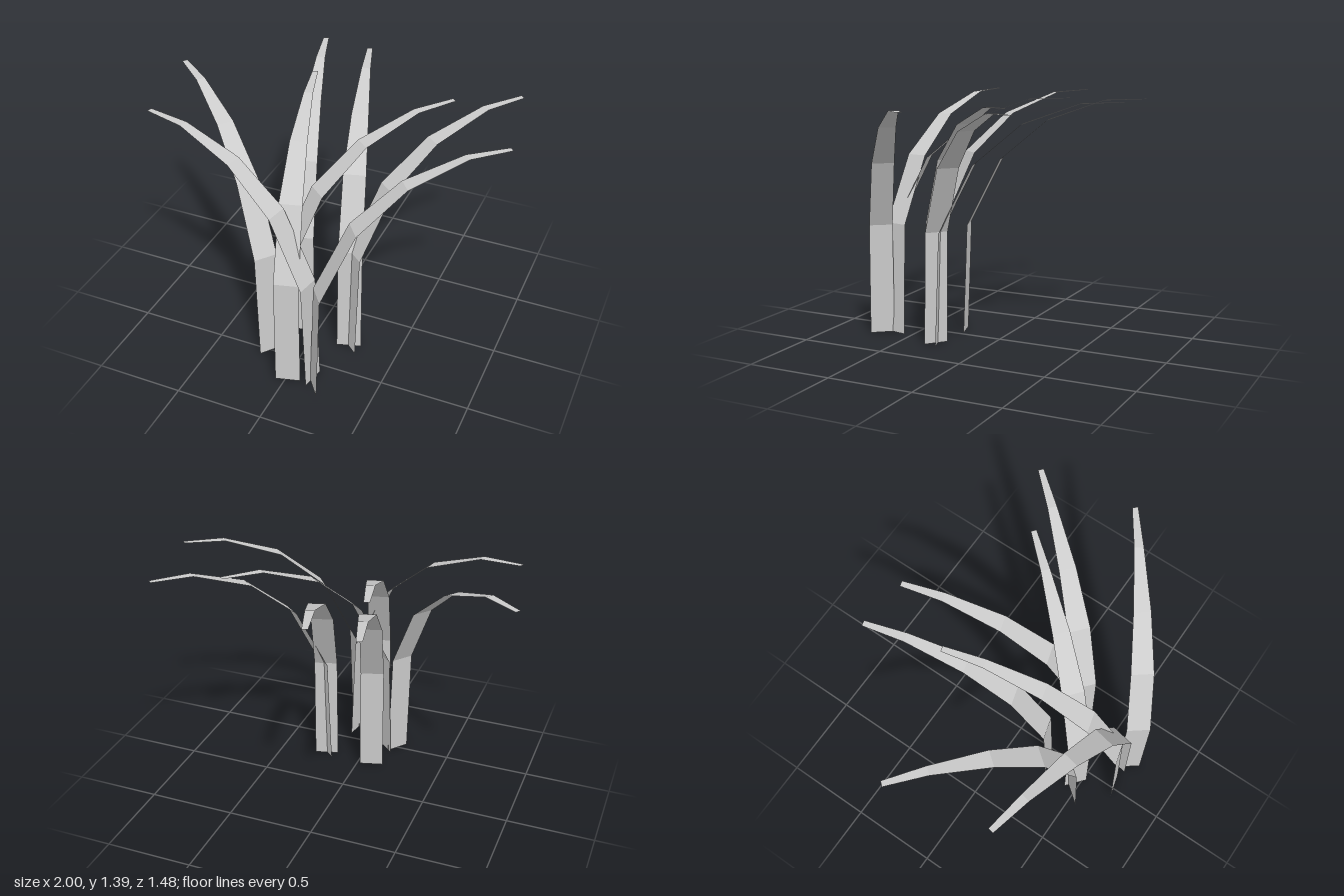
import * as THREE from 'three';

// Blade profile from root to tip: [height, outward reach, width]
const PROFILE = [
  [0, 0, 0.14],
  [0.65, 0.024, 0.135],
  [1.035, 0.215, 0.127],
  [1.26, 0.48, 0.095],
  [1.376, 0.80, 0.052],
  [1.386, 1.034, 0.032],
];

// Each blade: root x, root z, then the x, z its tip points toward
const BLADES = [
  [-0.085, 0.265, -0.366, -0.734],
  [0.217, 0.288, -0.075, -0.70],
  [0.223, 0.296, 0.897, -0.489],
  [-0.103, 0.475, 0.569, -0.312],
  [0.171, 0.687, 0.988, 0.056],
  [0.015, 0.683, -0.25, -0.312],
  [-0.1765, 0.499, -0.991, -0.144],
  [0.139, 0.619, -0.876, 0.427],
];

// Flat strip bent along the profile, arching toward -z
function bladeGeometry() {
  const segments = PROFILE.length - 1;
  const geometry = new THREE.PlaneGeometry(1, 1, 1, segments);
  const pos = geometry.attributes.position;
  for (let i = 0; i < pos.count; i++) {
    const row = Math.round((pos.getY(i) + 0.5) * segments);
    const [height, reach, width] = PROFILE[row];
    pos.setXYZ(i, pos.getX(i) * width, height, -reach);
  }
  geometry.computeVertexNormals();
  return geometry;
}

export function createModel() {
  const group = new THREE.Group();
  group.name = 'grassTuft';
  const geometry = bladeGeometry();
  const material = new THREE.MeshStandardMaterial({
    color: 0xcccccc,
    flatShading: true,
    side: THREE.DoubleSide,
  });

  // Turn a copy of the blade from each root toward its tip
  BLADES.forEach(([x, z, tipX, tipZ], i) => {
    const blade = new THREE.Mesh(geometry, material);
    blade.name = `grassBlade${i + 1}`;
    blade.position.set(x, 0, z);
    blade.rotation.y = Math.atan2(x - tipX, z - tipZ);
    group.add(blade);
  });
  return group;
}
